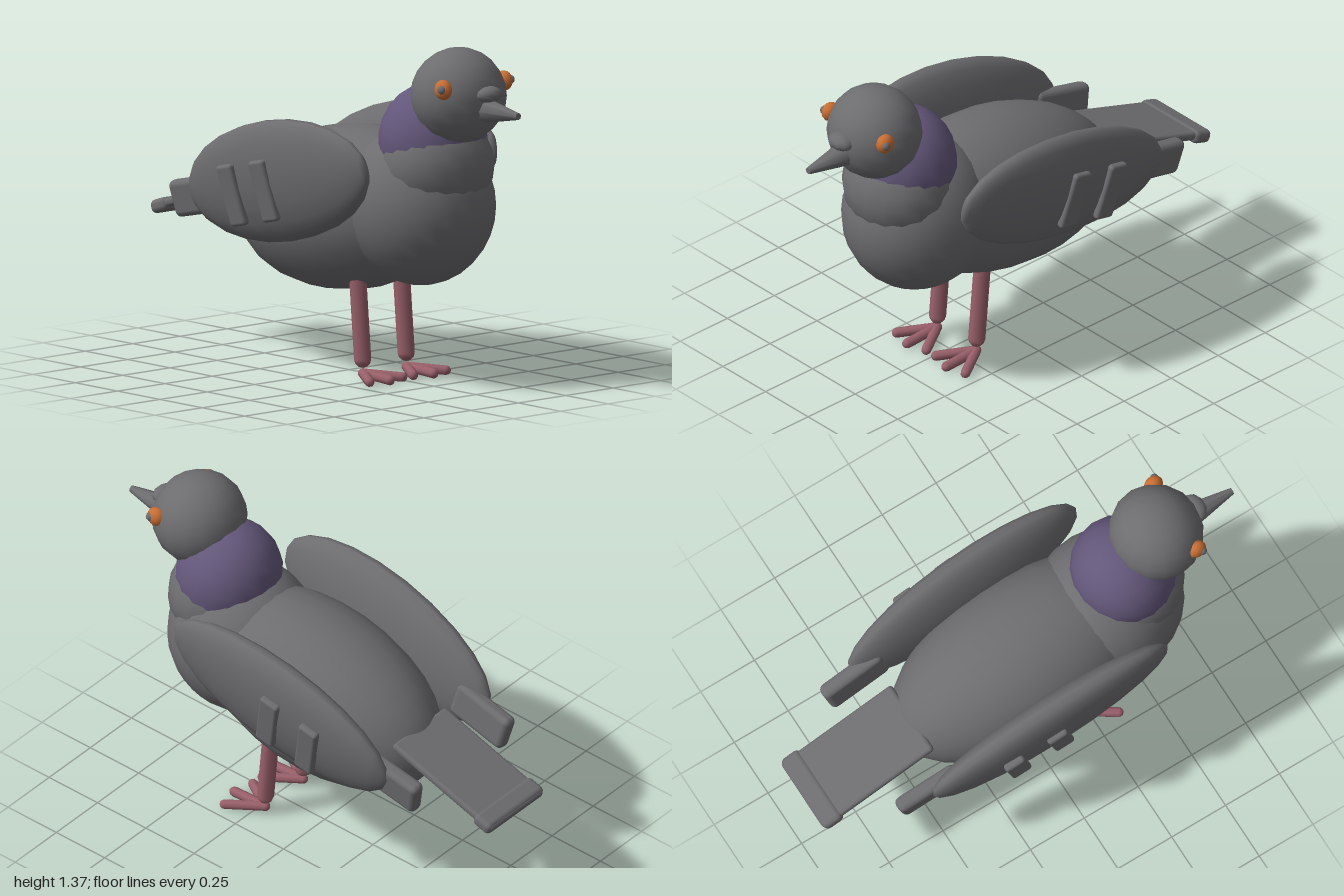
import * as THREE from 'three';
import { RoundedBoxGeometry } from 'three/addons/geometries/RoundedBoxGeometry.js';

const mat = (name, color) => {
  const m = new THREE.MeshStandardMaterial({ color });
  m.name = name;
  return m;
};

export function createModel() {
  const grey = mat('feather grey', 0x6d6d70);
  const purple = mat('neck purple', 0x63577a);
  const orange = mat('eye orange', 0xc86e34);
  const pink = mat('leg pink', 0x99606a);

  const bird = new THREE.Group();
  bird.name = 'bird';

  const add = (parent, name, geo, material, pos, rot = [0, 0, 0]) => {
    const m = new THREE.Mesh(geo, material);
    m.name = name;
    m.position.set(...pos);
    m.rotation.set(...rot);
    parent.add(m);
    return m;
  };
  // Ellipsoid with its poles along z or y
  const ellipsoid = (rx, ry, rz, poleZ = false, w = 18, h = 12) => {
    const g = new THREE.SphereGeometry(1, w, h);
    if (poleZ) g.rotateX(Math.PI / 2);
    return g.scale(rx, ry, rz);
  };
  const box = (x, y, z, r) => new RoundedBoxGeometry(x, y, z, 2, r);
  // Round limb between two points
  const limb = (parent, name, a, b, r) => {
    const from = new THREE.Vector3(...a), to = new THREE.Vector3(...b);
    const dir = to.clone().sub(from);
    const m = add(parent, name, new THREE.CapsuleGeometry(r, dir.length(), 3, 8), pink,
      from.clone().add(to).multiplyScalar(0.5).toArray());
    m.quaternion.setFromUnitVectors(new THREE.Vector3(0, 1, 0), dir.normalize());
  };

  // Trunk and neck
  add(bird, 'body', ellipsoid(0.32, 0.33, 0.58, true, 24, 16), grey, [0, 0.66, 0.02], [-0.17, 0, 0]);
  add(bird, 'breast', ellipsoid(0.29, 0.32, 0.31, false, 24, 16), grey, [0, 0.72, 0.42]);
  add(bird, 'lowerNeck', ellipsoid(0.235, 0.22, 0.215), grey, [0, 0.89, 0.52]);
  add(bird, 'neckBand', ellipsoid(0.22, 0.235, 0.21), purple, [0, 0.98, 0.495], [-0.2, 0, 0]);

  // Head and beak
  add(bird, 'head', ellipsoid(0.193, 0.19, 0.187, false, 16, 12), grey, [0, 1.187, 0.647]);
  add(bird, 'beak', new THREE.CylinderGeometry(0.014, 0.052, 0.2, 8), grey, [0, 1.148, 0.9], [Math.PI / 2, 0, 0]);
  add(bird, 'cere', ellipsoid(0.06, 0.033, 0.045, false, 10, 8), grey, [0, 1.213, 0.825]);

  // Tail
  add(bird, 'tail', box(0.32, 0.035, 0.54, 0.015), grey, [0, 0.622, -0.74], [-0.31, 0, 0]);
  add(bird, 'tailTip', box(0.34, 0.055, 0.09, 0.022), grey, [0, 0.551, -0.95], [-0.31, 0, 0]);

  for (const s of [1, -1]) {
    const side = s > 0 ? 'left' : 'right';

    // Eyes
    add(bird, side + 'Eye', ellipsoid(0.032, 0.04, 0.04, false, 12, 8), orange, [s * 0.16, 1.238, 0.735]);
    add(bird, side + 'Pupil', ellipsoid(0.015, 0.018, 0.018, false, 8, 6), grey, [s * 0.182, 1.242, 0.75]);

    // Wing with two raised bars and a flight-feather tip
    const wing = new THREE.Group();
    wing.name = side + 'Wing';
    wing.position.set(s * 0.325, 0.79, -0.05);
    wing.rotation.set(-0.22, s * 0.03, s * -0.14);
    bird.add(wing);
    add(wing, 'wingShell', ellipsoid(0.085, 0.248, 0.55, true), grey, [0, 0, 0]);
    for (const z of [-0.005, -0.205])
      add(wing, 'wingBar', box(0.035, 0.25, 0.09, 0.014), grey, [s * 0.082, -0.02, z]);
    add(wing, 'wingTip', box(0.065, 0.15, 0.28, 0.025), grey, [s * -0.03, -0.02, -0.55]);

    // Leg and three toes
    const leg = new THREE.Group();
    leg.name = side + 'Leg';
    leg.position.x = s * 0.115;
    bird.add(leg);
    limb(leg, 'shank', [0, 0.42, 0.178], [0, 0.085, 0.208], 0.034);
    for (const a of [-0.55, 0, 0.55])
      limb(leg, 'toe', [0, 0.03, 0.21], [Math.sin(a) * 0.165, 0.022, 0.21 + Math.cos(a) * 0.16], 0.02);
  }
  return bird;
}
